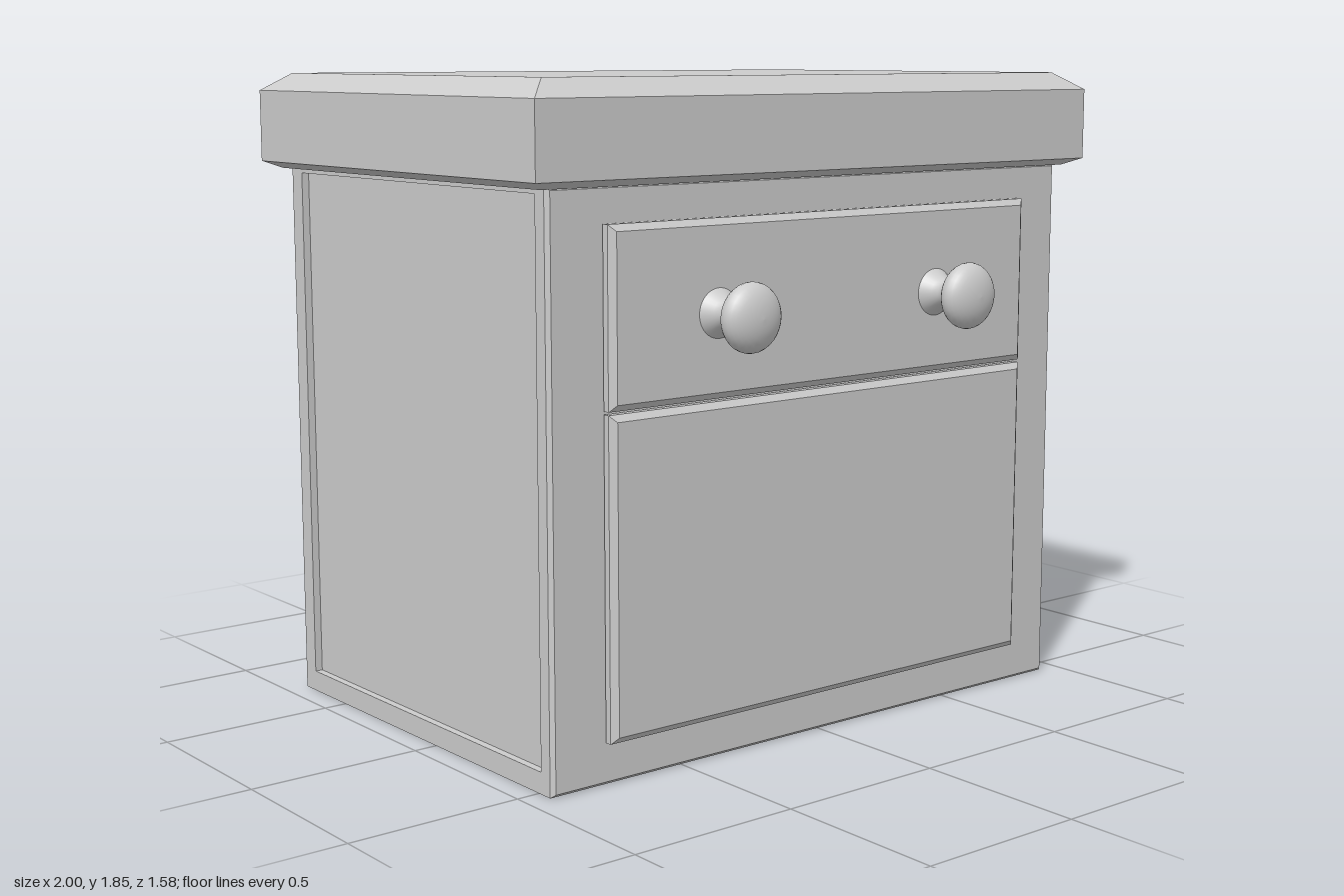
import * as THREE from 'three';

const mat = new THREE.MeshStandardMaterial({ color: 0xcccccc, side: THREE.DoubleSide });

function part(name, geo, x = 0, y = 0, z = 0) {
  const m = new THREE.Mesh(geo, mat);
  m.name = name;
  m.position.set(x, y, z);
  return m;
}

// Block with bevelled ends: sections are [height, inset] along local +z, centred on x and y.
function bevelBlock(w, h, sections) {
  const rings = sections.map(([z, d]) => {
    const a = w / 2 - d, b = h / 2 - d;
    return [[-a, -b, z], [a, -b, z], [a, b, z], [-a, b, z]];
  });
  const pos = [];
  const quad = (a, b, c, d) => pos.push(...a, ...b, ...c, ...a, ...c, ...d);
  for (let i = 0; i < rings.length - 1; i++) {
    for (let j = 0; j < 4; j++) {
      const k = (j + 1) % 4;
      quad(rings[i][j], rings[i][k], rings[i + 1][k], rings[i + 1][j]);
    }
  }
  const [p, q, r, s] = rings[0];
  quad(p, s, r, q);
  quad(...rings[rings.length - 1]);
  const g = new THREE.BufferGeometry();
  g.setAttribute('position', new THREE.Float32BufferAttribute(pos, 3));
  g.computeVertexNormals();
  return g;
}

// Rectangular outline, usable as shape or hole
function rect(path, x0, x1, y0, y1) {
  path.moveTo(x0, y0);
  path.lineTo(x1, y0);
  path.lineTo(x1, y1);
  path.lineTo(x0, y1);
  path.closePath();
  return path;
}

export function createModel() {
  const group = new THREE.Group();

  // Carcass and bevelled front face
  group.add(part('carcass', new THREE.BoxGeometry(1.82, 1.58, 1.28), 0, 0.79, -0.09));
  group.add(part('frontFace', bevelBlock(1.864, 1.58, [[0, 0], [0.012, 0.01]]), 0, 0.79, 0.55));

  // Side frames around the recessed panels
  const frame = rect(new THREE.Shape(), -0.55, 0.73, 0, 1.58);
  frame.holes.push(rect(new THREE.Path(), -0.51, 0.675, 0.06, 1.56));
  const frameGeo = new THREE.ExtrudeGeometry(frame, { depth: 0.022, bevelEnabled: false });
  frameGeo.rotateY(Math.PI / 2);
  group.add(part('leftSideFrame', frameGeo, 0.91));
  group.add(part('rightSideFrame', frameGeo, -0.932));

  // Lid with a small bevel below and a wide one above
  const lid = bevelBlock(2, 1.402, [[0, 0.045], [0.02, 0], [0.225, 0], [0.275, 0.07]]);
  lid.rotateX(-Math.PI / 2);
  group.add(part('lid', lid, 0, 1.573, -0.088));

  // Drawer and lower door panel
  const steps = [[0, 0.006], [0.008, 0], [0.028, 0], [0.043, 0.018]];
  group.add(part('drawerFront', bevelBlock(1.526, 0.48, steps), -0.003, 1.24, 0.562));
  group.add(part('doorPanel', bevelBlock(1.526, 0.872, steps), -0.003, 0.556, 0.562));

  // Turned knobs: flared foot, thin neck, flattened ball
  const foot = [[0.068, 0], [0.06, 0.012], [0.046, 0.032], [0.04, 0.05], [0.042, 0.068], [0.054, 0.083]];
  const profile = foot.map(([r, h]) => new THREE.Vector2(r, h));
  for (let i = 0; i <= 12; i++) {
    const t = -0.75 + (Math.PI / 2 + 0.75) * (i / 12);
    profile.push(new THREE.Vector2(Math.max(0.094 * Math.cos(t), 0), 0.13 + 0.052 * Math.sin(t)));
  }
  const knob = new THREE.LatheGeometry(profile, 32);
  knob.rotateX(Math.PI / 2);
  for (const [name, x] of [['leftKnob', 0.39], ['rightKnob', -0.412]]) {
    group.add(part(name, knob, x, 1.23, 0.604));
  }

  return group;
}
